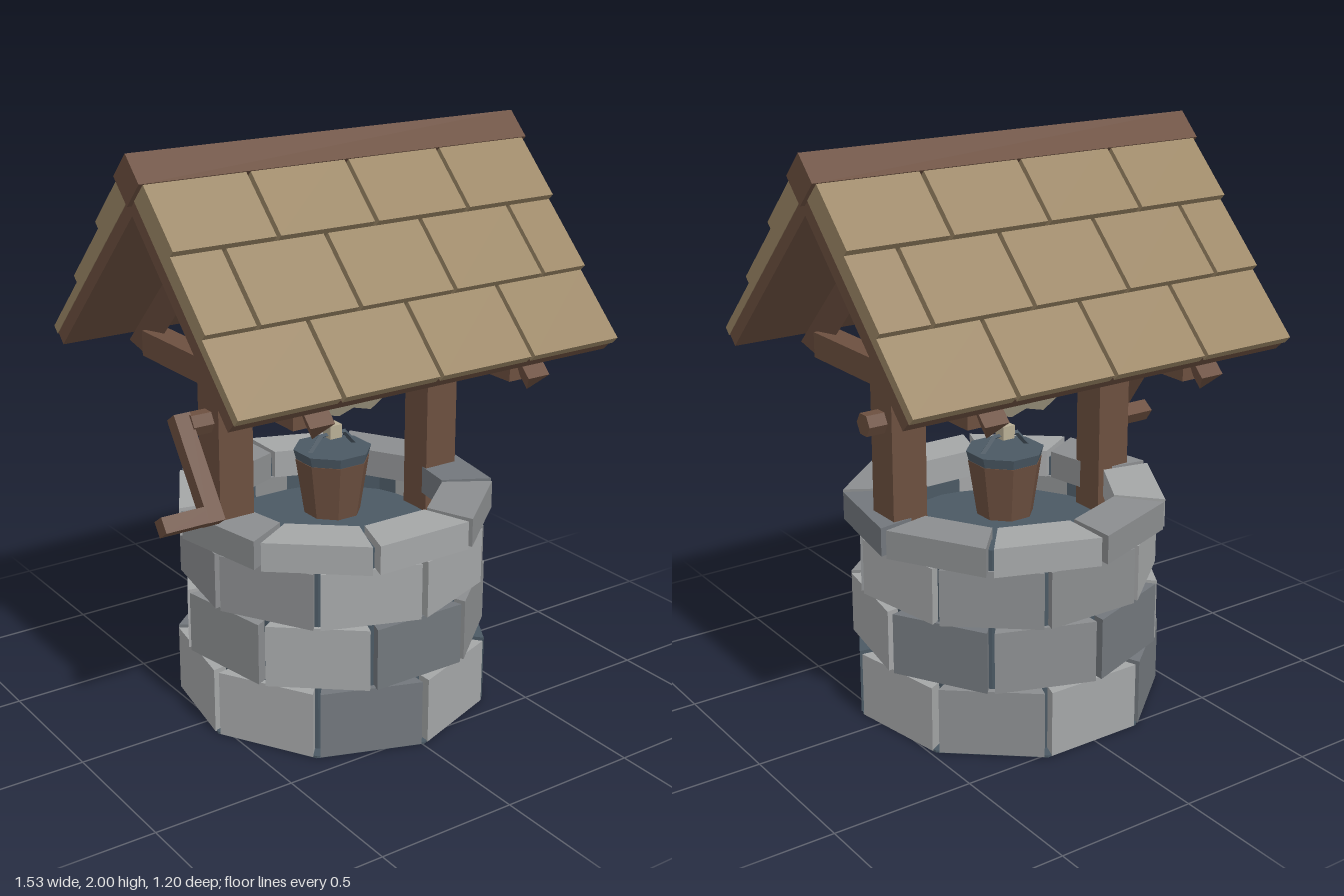
import * as THREE from 'three';

const mat = (name, color, side = THREE.FrontSide) => {
  const m = new THREE.MeshStandardMaterial({ color, side });
  m.name = name;
  return m;
};

export function createModel() {
  const wood = mat('wood', 0x6c4f3f);
  const shingleTan = mat('shingle tan', 0x9c8766);
  const rope = mat('rope', 0xb8ae95);
  const slate = mat('slate', 0x4b5964);
  const stoneMats = {
    L: mat('light stone', 0xa4a6a7),
    M: mat('mid stone', 0x8b8d8f),
    G: mat('dark stone', 0x72777c),
    S: slate,
  };

  const model = new THREE.Group();
  model.name = 'well';
  const body = new THREE.Group();
  body.name = 'wellBody';
  body.position.x = 0.007;
  model.add(body);

  const add = (parent, name, geo, material, x = 0, y = 0, z = 0) => {
    const mesh = new THREE.Mesh(geo, material);
    mesh.name = name;
    mesh.position.set(x, y, z);
    parent.add(mesh);
    return mesh;
  };
  const box = (parent, name, m, w, h, d, x, y, z) =>
    add(parent, name, new THREE.BoxGeometry(w, h, d), m, x, y, z);
  // Faceted geometry for the round parts
  const flat = (geo) => {
    const g = geo.toNonIndexed();
    g.computeVertexNormals();
    return g;
  };

  // Stone courses: nine blocks each, every second course turned half a block
  const block = (rIn, rOut, height) => {
    const a = THREE.MathUtils.degToRad(20 - 1.3);
    const corner = (r, t) => new THREE.Vector2(r * Math.sin(t), -r * Math.cos(t));
    const shape = new THREE.Shape([corner(rIn, -a), corner(rOut, -a), corner(rOut, a), corner(rIn, a)]);
    const g = new THREE.ExtrudeGeometry(shape, { depth: height, bevelEnabled: false });
    g.rotateX(-Math.PI / 2);
    return g;
  };
  const courses = [
    { y: 0.004, h: 0.234, r: 0.55, rIn: 0.42, start: 20, colours: 'LSLMLGLLG' },
    { y: 0.242, h: 0.218, r: 0.542, rIn: 0.42, start: 0, colours: 'GMLGMGLML' },
    { y: 0.464, h: 0.199, r: 0.536, rIn: 0.42, start: 20, colours: 'LMLMMLMML' },
    { y: 0.666, h: 0.1, r: 0.562, rIn: 0.385, start: 0, colours: 'LMGMLMLML' },
  ];
  courses.forEach((c, row) => {
    const course = new THREE.Group();
    course.name = `stoneCourse${row + 1}`;
    body.add(course);
    const geo = block(c.rIn, c.r, c.h);
    [...c.colours].forEach((key, i) => {
      const stone = add(course, 'stone', geo, stoneMats[key], 0, c.y, 0);
      stone.rotation.y = THREE.MathUtils.degToRad(c.start + i * 40);
    });
  });

  // Mortar core with a sunken floor, and the base plate
  const coreProfile = [[0, 0.002], [0.5, 0.002], [0.5, 0.735], [0.41, 0.735], [0.41, 0.6], [0, 0.6]]
    .map(([r, y]) => new THREE.Vector2(r, y));
  add(body, 'mortarCore', flat(new THREE.LatheGeometry(coreProfile, 18)), slate);
  add(body, 'basePlate', flat(new THREE.CylinderGeometry(0.549, 0.549, 0.008, 9)), slate, 0, 0.004, 0);

  // Posts and cross bars
  for (const side of [-1, 1]) {
    const x = side * 0.428;
    box(body, 'post', wood, 0.13, 1.16, 0.13, x, 1.18, 0);
    box(body, 'crossBar', wood, 0.09, 0.09, 0.95, x, 1.243, 0);
  }
  box(body, 'ridgeBeam', wood, 1.1, 0.09, 0.094, 0, 1.757, 0);

  // Roof slopes: local y points out of the slope, local z runs down it
  const rafterShape = new THREE.Shape([
    new THREE.Vector2(-0.045, 1.274), new THREE.Vector2(0, 1.192), new THREE.Vector2(0.045, 1.274),
  ]);
  const rafterGeo = new THREE.ExtrudeGeometry(rafterShape, { depth: 0.79, bevelEnabled: false });
  const W = 1.485;
  const evenEdges = [-0.5, -0.25, 0, 0.25, 0.5];
  const oddEdges = [-0.5, -0.375, -0.125, 0.125, 0.375, 0.5];
  for (const turn of [0, Math.PI]) {
    const half = new THREE.Group();
    half.name = turn ? 'backRoof' : 'frontRoof';
    half.rotation.y = turn;
    body.add(half);
    const slope = new THREE.Group();
    slope.name = 'roofSlope';
    slope.rotation.x = Math.PI / 4;
    half.add(slope);

    box(slope, 'roofDeck', wood, W - 0.004, 0.052, 0.785, 0, 1.304, -0.9075);
    for (const x of [-0.428, 0.428]) add(slope, 'rafter', rafterGeo, wood, x, 0, -1.259);

    for (let row = 0; row < 3; row++) {
      const edges = row === 1 ? oddEdges : evenEdges;
      const top = 1.358 + row * 0.0265;
      const bottom = 1.326;
      const low = -0.509 - row * 0.274;
      for (let i = 0; i + 1 < edges.length; i++) {
        const a = edges[i] * W + (i ? 0.008 : 0);
        const b = edges[i + 1] * W - (i + 2 < edges.length ? 0.008 : 0);
        box(slope, 'shingle', shingleTan, b - a, top - bottom, 0.274,
          (a + b) / 2, (top + bottom) / 2, low - 0.137);
      }
    }
  }
  const cap = box(body, 'ridgeCap', wood, 1.515, 0.115, 0.115, 0, 1.919, 0);
  cap.rotation.x = Math.PI / 4;

  // Windlass: hexagonal axle with a wound rope drum
  const axle = add(body, 'axle', flat(new THREE.CylinderGeometry(0.041, 0.041, 1.13, 6)), wood, -0.004, 1.1, 0);
  axle.rotation.z = Math.PI / 2;
  const drumRadii = [0.05, 0.082, 0.064, 0.082, 0.064, 0.082, 0.05];
  const drumProfile = drumRadii.map((r, i) => new THREE.Vector2(r, -0.2 + i * 0.4 / 6));
  const drumGeo = flat(new THREE.LatheGeometry(
    [new THREE.Vector2(0, -0.2), ...drumProfile, new THREE.Vector2(0, 0.2)], 6));
  const drum = add(body, 'ropeDrum', drumGeo, rope, 0, 1.1, 0);
  drum.rotation.z = Math.PI / 2;

  // Crank on the right-hand end
  const crank = new THREE.Group();
  crank.name = 'crank';
  crank.position.set(-0.592, 1.1, 0);
  crank.rotation.x = -0.61;
  body.add(crank);
  box(crank, 'crankArm', wood, 0.06, 0.37, 0.055, 0, -0.15, 0);
  box(crank, 'crankHandle', wood, 0.2, 0.055, 0.055, -0.085, -0.306, 0);

  // Bucket with metal rim, water, bail and rope knot
  const bucket = new THREE.Group();
  bucket.name = 'bucket';
  body.add(bucket);
  const tub = (name, rTop, rBottom, h, y, m) => {
    const mesh = add(bucket, name, flat(new THREE.CylinderGeometry(rTop, rBottom, h, 8)), m, 0, y, 0);
    mesh.rotation.y = Math.PI / 8;
  };
  tub('bucketStaves', 0.131, 0.1, 0.2, 0.77, wood);
  tub('bucketRim', 0.138, 0.128, 0.037, 0.8865, slate);
  const bail = add(bucket, 'bail', flat(new THREE.TorusGeometry(0.095, 0.012, 4, 3, Math.PI)), slate, 0, 0.9, 0);
  bail.scale.y = 0.66;
  box(bucket, 'ropeKnot', rope, 0.048, 0.048, 0.048, 0, 0.967, 0);

  return model;
}
